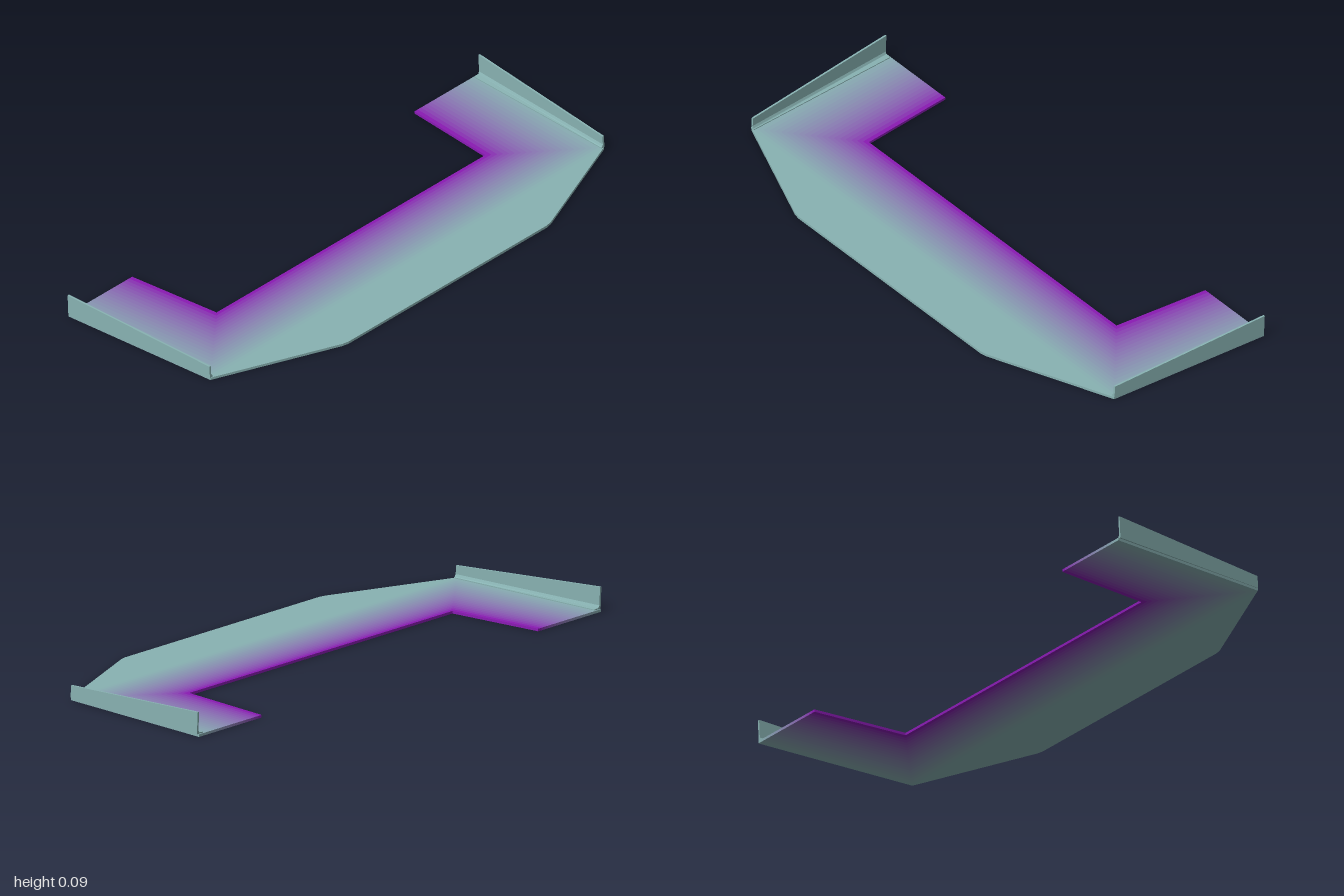
import * as THREE from 'three';

const TEAL = new THREE.Color(0x88b2b2);
const PURPLE = new THREE.Color(0x8a00b4);
const THICK = 0.009;
const BANDS = 20;

// Half outlines as [x, z], from the rear tip to the front corner
const INNER = [[0.685, -0.397], [0.652, -0.045]];
const OUTER = [[0.995, -0.397], [0.955, 0.21]];

function material(color) {
  return new THREE.MeshStandardMaterial({ color, flatShading: true, side: THREE.DoubleSide });
}

// Flat plate from an [x, z] outline
function plate(points, color, name) {
  const shape = new THREE.Shape(points.map(([x, z]) => new THREE.Vector2(x, z)));
  const geo = new THREE.ExtrudeGeometry(shape, { depth: THICK, bevelEnabled: false });
  geo.rotateX(Math.PI / 2).translate(0, THICK, 0);
  const mesh = new THREE.Mesh(geo, material(color));
  mesh.name = name;
  return mesh;
}

const mirrored = (half) => [...half, ...half.map(([x, z]) => [-x, z]).reverse()];

// U-shaped line a fraction t of the way from the inner to the outer edge
function ring(t) {
  return mirrored(INNER.map(([x, z], i) => [
    THREE.MathUtils.lerp(x, OUTER[i][0], t),
    THREE.MathUtils.lerp(z, OUTER[i][1], t),
  ]));
}

// Upright fence with a small foot flange, lofted from the front to the rear section
function fence(side) {
  const section = (x, z, h, foot, lean) => [
    [0, THICK], [0, h], [-0.007, h], [-0.007, 0.022],
    [-0.011, 0.014], [-foot, 0.012], [-foot, THICK],
  ].map(([dx, y]) => [side * (x + dx), y, z - lean * (y - THICK) / h]);
  const a = section(0.957, 0.21, 0.052, 0.014, 0.003);
  const b = section(1.0, -0.392, 0.086, 0.03, 0.004);
  const n = a.length;
  const index = [];
  const tri = (p, q, r) => (side > 0 ? index.push(p, q, r) : index.push(p, r, q));
  for (let i = 0; i < n; i++) {
    const j = (i + 1) % n;
    tri(i, n + i, j);
    tri(j, n + i, n + j);
  }
  // End caps
  const caps = THREE.ShapeUtils.triangulateShape(a.map(([x, y]) => new THREE.Vector2(x, y)), []);
  for (const [p, q, r] of caps) {
    index.push(p, q, r);
    index.push(n + p, n + r, n + q);
  }
  const geo = new THREE.BufferGeometry();
  geo.setAttribute('position', new THREE.Float32BufferAttribute([...a, ...b].flat(), 3));
  geo.setIndex(index);
  const flat = geo.toNonIndexed();
  flat.computeVertexNormals();
  const mesh = new THREE.Mesh(flat, material(TEAL));
  mesh.name = side > 0 ? 'leftFence' : 'rightFence';
  return mesh;
}

export function createModel() {
  const model = new THREE.Group();
  model.name = 'frontSplitter';

  // U-shaped floor, shading from purple at the inner edge to teal outside
  const floor = new THREE.Group();
  floor.name = 'floor';
  for (let i = 0; i < BANDS; i++) {
    const color = PURPLE.clone().lerp(TEAL, (i + 0.5) / BANDS);
    const outline = [...ring(i / BANDS), ...ring((i + 1) / BANDS).reverse()];
    floor.add(plate(outline, color, 'floorBand'));
  }
  model.add(floor);

  // Front lip with softened corners
  const lip = mirrored([[0.955, 0.21], [0.52, 0.384], [0.505, 0.39], [0.48, 0.395]]);
  model.add(plate(lip, TEAL, 'frontLip'));

  // Side fences
  for (const side of [1, -1]) model.add(fence(side));
  return model;
}
